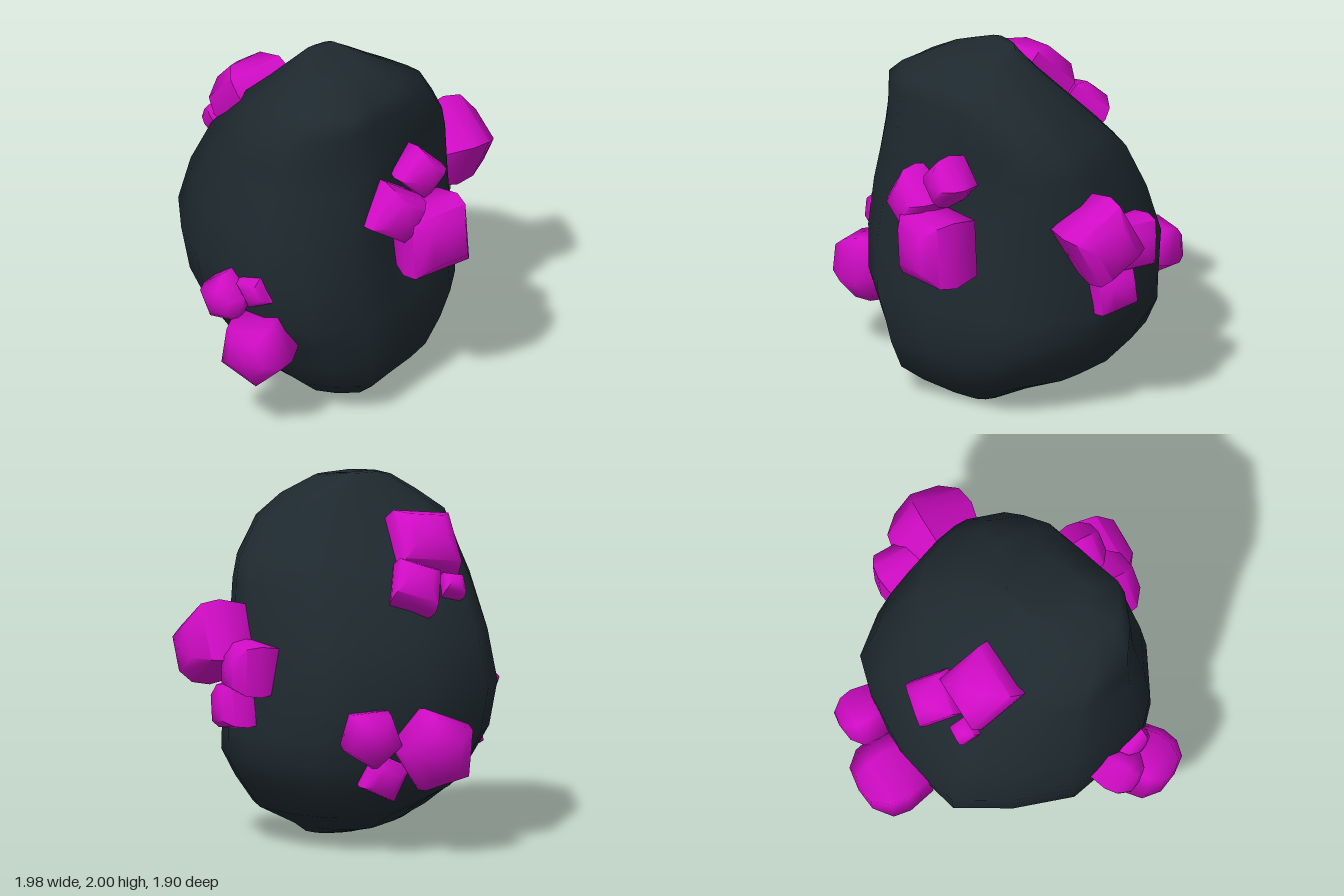
import * as THREE from 'three';
import { toCreasedNormals } from 'three/addons/utils/BufferGeometryUtils.js';

const stone = new THREE.MeshStandardMaterial({ color: 0x1e292f });
stone.name = 'dark slate';
const magenta = new THREE.MeshStandardMaterial({ color: 0xd00bc5 });
magenta.name = 'magenta crystal';

// Plan outline of the boulder (x, z), running clockwise from the back
const OUTLINE = [
  [-0.18, -0.69], [0.18, -0.67], [0.4, -0.61], [0.57, -0.4], [0.66, -0.12], [0.69, 0.04],
  [0.61, 0.33], [0.45, 0.51], [0.22, 0.61], [-0.05, 0.7], [-0.33, 0.8], [-0.6, 0.67],
  [-0.78, 0.51], [-0.82, 0.25], [-0.87, 0.03], [-0.76, -0.3], [-0.59, -0.59],
];

// Height, then the x and z limits of the boulder at that height
const LAYERS = [
  [0.0, -0.15, 0.13, 0.18, 0.45],
  [0.07, -0.39, 0.25, -0.2, 0.58],
  [0.18, -0.53, 0.48, -0.47, 0.72],
  [0.33, -0.63, 0.6, -0.6, 0.77],
  [0.48, -0.73, 0.69, -0.64, 0.79],
  [0.62, -0.82, 0.69, -0.66, 0.8],
  [0.87, -0.86, 0.68, -0.69, 0.78],
  [1.15, -0.82, 0.65, -0.6, 0.75],
  [1.42, -0.75, 0.62, -0.46, 0.71],
  [1.55, -0.71, 0.58, -0.34, 0.69],
  [1.75, -0.66, 0.44, -0.15, 0.67],
  [1.86, -0.51, 0.27, -0.05, 0.65],
  [1.96, -0.34, 0.1, 0.03, 0.47],
  [2.0, -0.2, -0.01, 0.06, 0.13],
];

function boulderGeometry() {
  const n = OUTLINE.length;
  const pos = [];
  const index = [];
  const dent = new THREE.Vector3(0.33, 1.32, 0.6);
  for (const [y, x0, x1, z0, z1] of LAYERS) {
    for (const [ox, oz] of OUTLINE) {
      const p = new THREE.Vector3(
        x0 + (x1 - x0) * (ox + 0.87) / 1.56, y, z0 + (z1 - z0) * (oz + 0.69) / 1.49);
      // shallow hollow behind the front crystals
      const push = 0.09 * Math.max(0, 1 - p.distanceTo(dent) / 0.3);
      p.x -= push * 0.5;
      p.z -= push;
      // sloping cut under the back right corner
      const cut = Math.max(0, -(p.x + p.z) / 2 - 0.03 - 1.24 * y);
      p.x += cut;
      p.z += cut;
      pos.push(p.x, p.y, p.z);
    }
  }
  for (let i = 0; i < LAYERS.length - 1; i++) {
    for (let j = 0; j < n; j++) {
      const a = i * n + j, b = i * n + (j + 1) % n;
      index.push(a, a + n, b, b, a + n, b + n);
    }
  }
  // closing fans
  const last = (LAYERS.length - 1) * n;
  const bottom = pos.length / 3;
  pos.push(-0.01, 0, 0.32, -0.1, 2, 0.09);
  for (let j = 0; j < n; j++) {
    const k = (j + 1) % n;
    index.push(bottom, j, k, bottom + 1, last + k, last + j);
  }
  const g = new THREE.BufferGeometry();
  g.setAttribute('position', new THREE.Float32BufferAttribute(pos, 3));
  g.setIndex(index);
  g.computeVertexNormals();
  return g;
}

// Stubby crystal growing along +y with a softly bevelled, slightly slanted tip
function crystalGeometry(radius, half, sides) {
  const profile = [[0, -0.9], [0.85, -0.8], [1, 0], [0.92, 0.5], [0.56, 0.9], [0, 1]]
    .map(([r, y]) => new THREE.Vector2(r * radius, y * half));
  const g = new THREE.LatheGeometry(profile, sides);
  const p = g.attributes.position;
  for (let i = 0; i < p.count; i++) {
    if (p.getY(i) > half * 0.7) p.setX(i, p.getX(i) + radius * 0.08);
  }
  return toCreasedNormals(g, 1.3);
}

// Each crystal: centre, radius, half length, sides, spin in degrees
const CLUSTERS = {
  frontCrystals: { dir: [0, 0, 1], list: [
    [[0.185, 1.04, 0.75], 0.27, 0.2, 4, 49],
    [[-0.04, 1.24, 0.7], 0.195, 0.17, 4, 11],
    [[0.17, 1.4, 0.65], 0.155, 0.13, 4, 0],
  ] },
  leftCrystals: { dir: [1, 0, 0], list: [
    [[0.77, 1.115, 0.06], 0.255, 0.21, 4, -16],
    [[0.65, 1.0, -0.2], 0.2, 0.17, 4, 42],
    [[0.68, 0.78, -0.07], 0.18, 0.15, 4, 53],
  ] },
  rightCrystals: { dir: [-0.85, -0.1, 0.5], list: [
    [[-0.79, 0.52, 0.51], 0.215, 0.18, 5, 20],
    [[-0.845, 0.77, 0.3], 0.15, 0.14, 5, 50],
    [[-0.74, 0.84, 0.44], 0.12, 0.1, 4, 10],
  ] },
  backCrystals: { dir: [0, -0.1, -1], list: [
    [[-0.2, 0.58, -0.75], 0.24, 0.2, 5, 15],
    [[0.16, 0.66, -0.73], 0.175, 0.14, 5, 40],
    [[0.06, 0.43, -0.65], 0.15, 0.12, 4, 20],
  ] },
  topCrystals: { dir: [-0.1, 0.66, -0.66], list: [
    [[-0.33, 1.625, -0.24], 0.255, 0.19, 4, 45],
    [[-0.2, 1.43, -0.47], 0.185, 0.14, 4, 28],
    [[-0.44, 1.42, -0.42], 0.09, 0.08, 4, 40],
  ] },
};

export function createModel() {
  const model = new THREE.Group();
  model.name = 'crystalBoulder';

  const boulder = new THREE.Mesh(boulderGeometry(), stone);
  boulder.name = 'boulder';
  model.add(boulder);

  const up = new THREE.Vector3(0, 1, 0);
  for (const [name, { dir, list }] of Object.entries(CLUSTERS)) {
    const cluster = new THREE.Group();
    cluster.name = name;
    const axis = new THREE.Vector3(...dir).normalize();
    for (const [at, radius, half, sides, spin] of list) {
      const crystal = new THREE.Mesh(crystalGeometry(radius, half, sides), magenta);
      crystal.name = 'crystal';
      crystal.position.set(...at);
      crystal.quaternion.setFromUnitVectors(up, axis);
      crystal.rotateY(THREE.MathUtils.degToRad(spin));
      cluster.add(crystal);
    }
    model.add(cluster);
  }
  return model;
}
